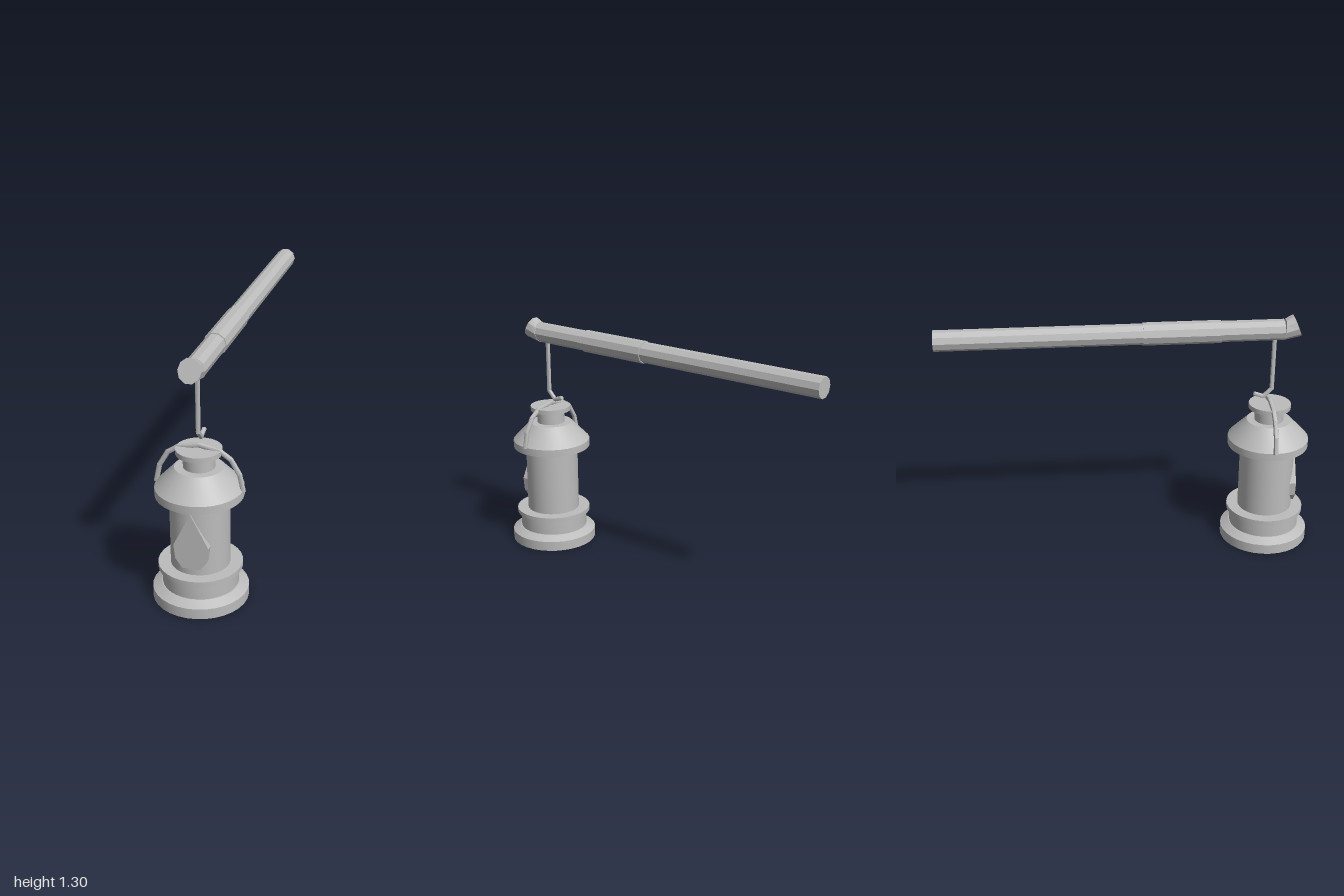
import * as THREE from 'three';
import { toCreasedNormals } from 'three/addons/utils/BufferGeometryUtils.js';

const LANTERN_Z = 0.76;
const POLE_Y = 1.225;

export function createModel() {
  const model = new THREE.Group();
  model.name = 'lanternOnPole';
  const grey = new THREE.MeshStandardMaterial({ color: 0xbcbcbc });
  grey.name = 'plain grey';

  function add(name, geometry, parent = model) {
    const mesh = new THREE.Mesh(geometry, grey);
    mesh.name = name;
    parent.add(mesh);
    return mesh;
  }

  // Lantern: turned sections, each a closed profile of [radius, height]
  const lantern = new THREE.Group();
  lantern.name = 'lantern';
  lantern.position.z = LANTERN_Z;
  model.add(lantern);
  const turned = (name, profile) => {
    const points = profile.map(([r, y]) => new THREE.Vector2(r, y));
    add(name, toCreasedNormals(new THREE.LatheGeometry(points, 32), 0.5), lantern);
  };
  turned('base', [[0, 0], [0.24, 0], [0.24, 0.055], [0.195, 0.08], [0.19, 0.08],
    [0.19, 0.165], [0.21, 0.165], [0.21, 0.19], [0.148, 0.19]]);
  turned('glassCylinder', [[0.148, 0.19], [0.148, 0.565]]);
  turned('roof', [[0.148, 0.565], [0.218, 0.565], [0.218, 0.607], [0.12, 0.71], [0.078, 0.71]]);
  turned('chimney', [[0.078, 0.71], [0.078, 0.78], [0.113, 0.78], [0.113, 0.806], [0, 0.806]]);

  // Raised teardrop window on the front
  const drop = new THREE.Shape([[0, 0.525], [-0.088, 0.35], [-0.08, 0.275], [-0.045, 0.227],
    [0.045, 0.227], [0.08, 0.275], [0.088, 0.35]].map(([x, y]) => new THREE.Vector2(x, y)));
  const dropGeometry = new THREE.ExtrudeGeometry(drop, { depth: 0.036, bevelEnabled: false });
  dropGeometry.translate(0, 0, 0.118);
  add('teardropWindow', dropGeometry, lantern);

  // Bent rods: straight segments joined at the corners, with closed ends
  function rod(name, corners, radius, parent) {
    const path = new THREE.CurvePath();
    const pts = corners.map((c) => new THREE.Vector3(...c));
    for (let i = 1; i < pts.length; i++) {
      path.add(new THREE.LineCurve3(pts[i - 1], pts[i]));
    }
    const group = new THREE.Group();
    group.name = name;
    parent.add(group);
    path.curves.forEach((line) => {
      const length = line.getLength();
      const geometry = new THREE.CylinderGeometry(radius, radius, length + radius * 0.5, 8);
      const part = add(name + 'Segment', toCreasedNormals(geometry, 0.9), group);
      part.position.copy(line.getPoint(0.5));
      part.quaternion.setFromUnitVectors(new THREE.Vector3(0, 1, 0), line.getTangent(0));
    });
  }
  const side = [[0.218, 0.605], [0.2, 0.69], [0.157, 0.764], [0.1, 0.803]];
  rod('handle', [
    ...side.map(([x, y]) => [-x, y, 0]),
    [0, 0.821, 0],
    ...side.slice().reverse().map(([x, y]) => [x, y, 0]),
  ], 0.013, lantern);
  rod('hook', [[0, 1.2, 0.765], [0, 0.89, 0.765], [0, 0.847, 0.722], [0, 0.864, 0.672]], 0.012, model);

  // Ten-sided pole running back along z
  function poleSection(name, radius, z0, z1, reshape) {
    let geometry = new THREE.CylinderGeometry(radius, radius, z1 - z0, 10, 1, false, Math.PI / 10);
    geometry.rotateX(Math.PI / 2);
    geometry.translate(0, 0, (z0 + z1) / 2);
    if (reshape) {
      const p = geometry.attributes.position;
      for (let i = 0; i < p.count; i++) {
        reshape(p, i, p.getZ(i) > (z0 + z1) / 2);
      }
    }
    geometry = geometry.toNonIndexed();
    geometry.computeVertexNormals();
    add(name, geometry).position.y = POLE_Y;
  }
  poleSection('pole', 0.055, -1, 0.81);
  poleSection('poleSleeve', 0.06, 0.07, 0.48);

  // Pole tip kinks upward: both ends are tilted and the front is raised
  poleSection('poleTip', 0.057, 0.81, 0.88, (p, i, front) => {
    const y = p.getY(i);
    p.setZ(i, p.getZ(i) + y * (front ? -0.4 : 0.15));
    if (front) p.setY(i, y + 0.021);
  });

  return model;
}
